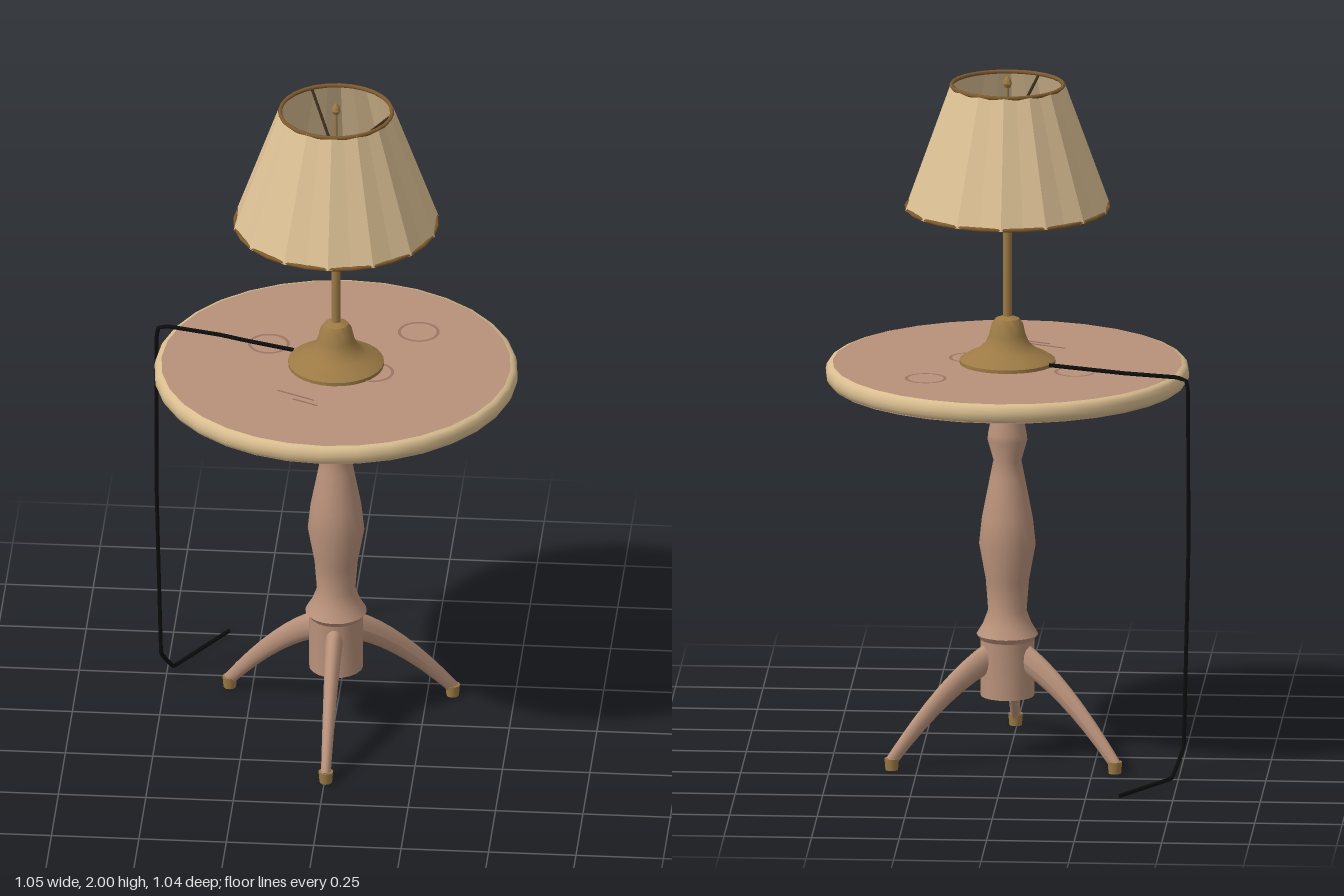
import * as THREE from 'three';
import { toCreasedNormals } from 'three/addons/utils/BufferGeometryUtils.js';

const mat = (name, color, side = THREE.FrontSide) =>
  Object.assign(new THREE.MeshStandardMaterial({ color, side }), { name });

const M = {
  wood: mat('wood', 0xb8917a),
  rim: mat('pale rim', 0xd9bd8f),
  shade: mat('shade cloth', 0xdcc094, THREE.DoubleSide),
  brass: mat('brass', 0x9c7a45),
  trim: mat('shade trim', 0x805c30),
  dark: mat('dark wire', 0x3a2c1c),
  black: mat('black', 0x0c0c0c),
  bulb: mat('bulb glass', 0xeeebe4),
  stain: mat('stain', 0x9a7565),
};

function add(parent, name, geometry, material, x = 0, y = 0, z = 0) {
  const mesh = new THREE.Mesh(geometry, material);
  mesh.name = name;
  mesh.position.set(x, y, z);
  parent.add(mesh);
  return mesh;
}

// Turned part from [radius, height] pairs, bottom to top
function turned(points, segments, crease = 0.6) {
  const g = new THREE.LatheGeometry(points.map(([r, y]) => new THREE.Vector2(r, y)), segments);
  return toCreasedNormals(g, crease);
}

// Thin rod between two points
function rod(parent, name, a, b, r, material) {
  const d = b.clone().sub(a);
  const mesh = add(parent, name, new THREE.CylinderGeometry(r, r, d.length(), 8), material);
  mesh.position.copy(a).add(b).multiplyScalar(0.5);
  mesh.quaternion.setFromUnitVectors(new THREE.Vector3(0, 1, 0), d.normalize());
  return mesh;
}

// Tapered oval leg following a curve in the local x-y plane
function legGeometry() {
  const path = new THREE.QuadraticBezierCurve(
    new THREE.Vector2(0.05, 0.3), new THREE.Vector2(0.19, 0.24), new THREE.Vector2(0.37, 0.025));
  const g = new THREE.CylinderGeometry(1, 1, 1, 14, 8);
  const p = g.attributes.position;
  for (let i = 0; i < p.count; i++) {
    const t = 0.5 - p.getY(i);
    const c = path.getPoint(t), d = path.getTangent(t);
    const h = THREE.MathUtils.lerp(0.042, 0.018, t) * p.getX(i);
    const w = THREE.MathUtils.lerp(0.026, 0.014, t) * p.getZ(i);
    p.setXYZ(i, c.x - d.y * h, c.y + d.x * h, w);
  }
  g.computeVertexNormals();
  return g;
}

// Pleated cone: every other vertical edge is pulled inwards
function pleatedShade(top, bottom, height, edges) {
  const g = new THREE.CylinderGeometry(top, bottom, height, edges, 1, true);
  const p = g.attributes.position;
  for (let i = 0; i < p.count; i++) {
    if (Math.round(g.attributes.uv.getX(i) * edges) % 2) {
      p.setX(i, p.getX(i) * 0.965);
      p.setZ(i, p.getZ(i) * 0.965);
    }
  }
  const flat = g.toNonIndexed();
  flat.computeVertexNormals();
  return flat;
}

function buildTable() {
  const table = new THREE.Group();
  table.name = 'table';

  // Top with rounded pale edge
  add(table, 'tableTop', new THREE.CylinderGeometry(0.502, 0.506, 0.054, 32), M.wood, 0, 1.129, 0);
  add(table, 'tableRim', turned([[0.5, 1.102], [0.511, 1.106], [0.518, 1.118], [0.519, 1.132],
    [0.516, 1.146], [0.509, 1.154], [0.499, 1.157]], 32, 0.9), M.rim);

  // Turned post
  add(table, 'post', turned([[0, 0.18], [0.077, 0.18], [0.077, 0.345], [0.088, 0.36], [0.07, 0.39],
    [0.055, 0.43], [0.062, 0.52], [0.081, 0.625], [0.073, 0.7], [0.05, 0.82], [0.04, 0.87],
    [0.057, 0.93], [0.055, 0.95], [0.046, 0.995], [0.085, 1.045], [0.085, 1.103]], 20), M.wood);

  // Three legs with brass feet
  const legShape = legGeometry();
  for (let i = 0; i < 3; i++) {
    const leg = new THREE.Group();
    leg.name = 'leg';
    leg.rotation.y = -Math.PI / 2 + i * Math.PI * 2 / 3;
    add(leg, 'legWood', legShape, M.wood);
    add(leg, 'foot', new THREE.CylinderGeometry(0.021, 0.018, 0.034, 12), M.brass, 0.368, 0.017, 0);
    table.add(leg);
  }

  // Cup stains and scratches on the top
  for (const [x, z] of [[0.22, -0.207], [0.11, 0.045], [-0.2, -0.102]]) {
    const ring = add(table, 'cupStain', new THREE.RingGeometry(0.051, 0.06, 32), M.stain, x, 1.1575, z);
    ring.rotation.x = -Math.PI / 2;
  }
  for (const [x, z, len] of [[-0.1, 0.2, 0.12], [-0.07, 0.24, 0.08]]) {
    const scratch = add(table, 'scratch', new THREE.BoxGeometry(len, 0.002, 0.004), M.stain, x, 1.157, z);
    scratch.rotation.y = -0.45;
  }
  return table;
}

function buildLamp() {
  const lamp = new THREE.Group();
  lamp.name = 'lamp';

  // Bell-shaped base and stem
  add(lamp, 'lampBase', turned([[0, 1.156], [0.137, 1.156], [0.137, 1.166], [0.115, 1.18], [0.085, 1.194],
    [0.062, 1.215], [0.052, 1.24], [0.045, 1.27], [0.034, 1.286], [0.013, 1.294]], 28), M.brass);
  add(lamp, 'stem', new THREE.CylinderGeometry(0.013, 0.013, 0.37, 14), M.brass, 0, 1.47, 0);

  // Socket and bulb
  add(lamp, 'socket', new THREE.CylinderGeometry(0.03, 0.03, 0.09, 16), M.black, 0, 1.695, 0);
  add(lamp, 'bulb', turned([[0.022, 1.735], [0.026, 1.76], [0.043, 1.79], [0.05, 1.82], [0.045, 1.845],
    [0.028, 1.864], [0, 1.87]], 16, 1.2), M.bulb);

  // Pleated shade with trim rings
  add(lamp, 'shade', pleatedShade(0.165, 0.295, 0.36, 28), M.shade, 0, 1.793, 0);
  for (const [r, y] of [[0.16, 1.971], [0.288, 1.615]]) {
    const ring = add(lamp, 'shadeTrim', new THREE.TorusGeometry(r, 0.006, 6, 28), M.trim, 0, y, 0);
    ring.rotation.x = Math.PI / 2;
  }

  // Wire supports and finial
  for (let i = 0; i < 3; i++) {
    const a = i * Math.PI * 2 / 3;
    rod(lamp, 'shadeSupport', new THREE.Vector3(0.02 * Math.cos(a), 1.84, 0.02 * Math.sin(a)),
      new THREE.Vector3(0.16 * Math.cos(a), 1.967, 0.16 * Math.sin(a)), 0.004, M.dark);
  }
  add(lamp, 'finialRod', new THREE.CylinderGeometry(0.004, 0.004, 0.11, 8), M.brass, 0, 1.915, 0);
  add(lamp, 'finial', turned([[0, 1.962], [0.008, 1.964], [0.013, 1.975], [0.01, 1.987], [0, 2]], 12), M.brass);
  return lamp;
}

export function createModel() {
  const model = new THREE.Group();
  model.name = 'tableWithLamp';

  const furniture = new THREE.Group();
  furniture.name = 'furniture';
  furniture.position.set(0.004, 0, -0.003);
  furniture.add(buildTable(), buildLamp());
  model.add(furniture);

  // Cord across the top, down the side and along the floor
  const points = [[-0.12, 1.164, -0.06], [-0.27, 1.163, -0.112], [-0.34, 1.163, -0.138], [-0.49, 1.163, -0.176],
    [-0.518, 1.155, -0.182], [-0.524, 1.12, -0.187], [-0.525, 0.65, -0.195], [-0.513, 0.09, -0.21],
    [-0.482, 0.01, -0.278], [-0.342, 0.01, -0.502]].map((p) => new THREE.Vector3(...p));
  const cord = new THREE.CatmullRomCurve3(points, false, 'catmullrom', 0.05);
  add(model, 'cord', new THREE.TubeGeometry(cord, 160, 0.006, 8), M.black);
  return model;
}
